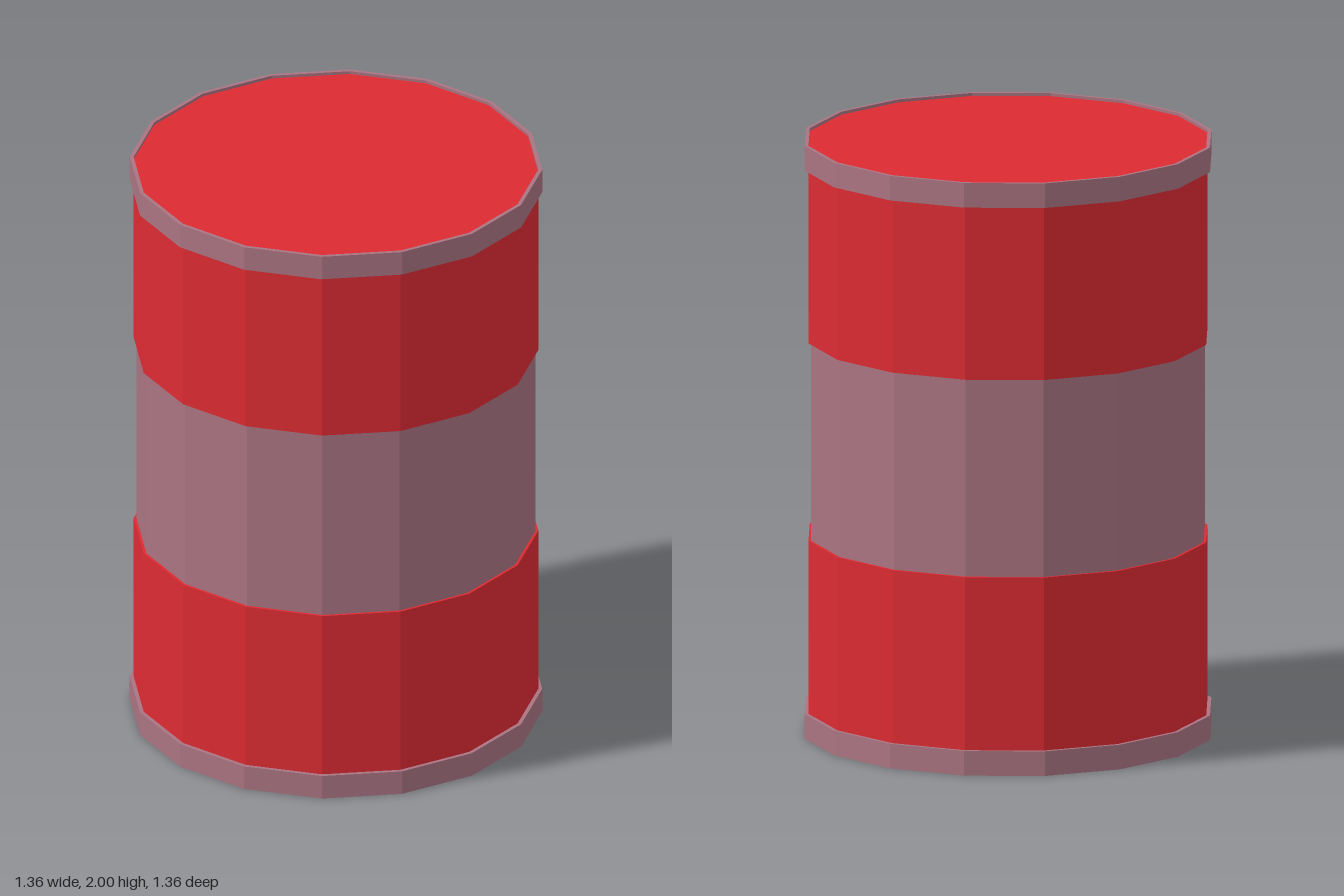
import * as THREE from 'three';

const SIDES = 16;
const RIM_R = 0.68, RIM_H = 0.083, RECESS = 0.01;
const BAND_R = 0.667, CORE_R = 0.658;

export function createModel() {
  const group = new THREE.Group();
  group.name = 'barrel';
  const red = new THREE.MeshStandardMaterial({ color: 0xdc2b32, flatShading: true });
  const mauve = new THREE.MeshStandardMaterial({ color: 0xaa7482, flatShading: true });

  const add = (name, geometry, material, y) => {
    const mesh = new THREE.Mesh(geometry, material);
    mesh.name = name;
    mesh.position.y = y;
    group.add(mesh);
  };

  // Drum sections, from y0 to y1
  const drum = (name, r, y0, y1, material) =>
    add(name, new THREE.CylinderGeometry(r, r, y1 - y0, SIDES), material, (y0 + y1) / 2);

  drum('lowerBand', BAND_R, RECESS, 2 / 3, red);
  drum('middleBand', CORE_R, 2 / 3, 4 / 3, mauve);
  drum('upperBand', BAND_R, 4 / 3, 2 - RECESS, red);

  // Rims around both ends, standing slightly proud of the lids
  const rim = new THREE.LatheGeometry([
    new THREE.Vector2(RIM_R, 0),
    new THREE.Vector2(RIM_R, RIM_H),
    new THREE.Vector2(BAND_R, RIM_H),
    new THREE.Vector2(BAND_R, 0),
    new THREE.Vector2(RIM_R, 0),
  ], SIDES);
  add('bottomRim', rim, mauve, 0);
  add('topRim', rim, mauve, 2 - RIM_H);

  return group;
}
